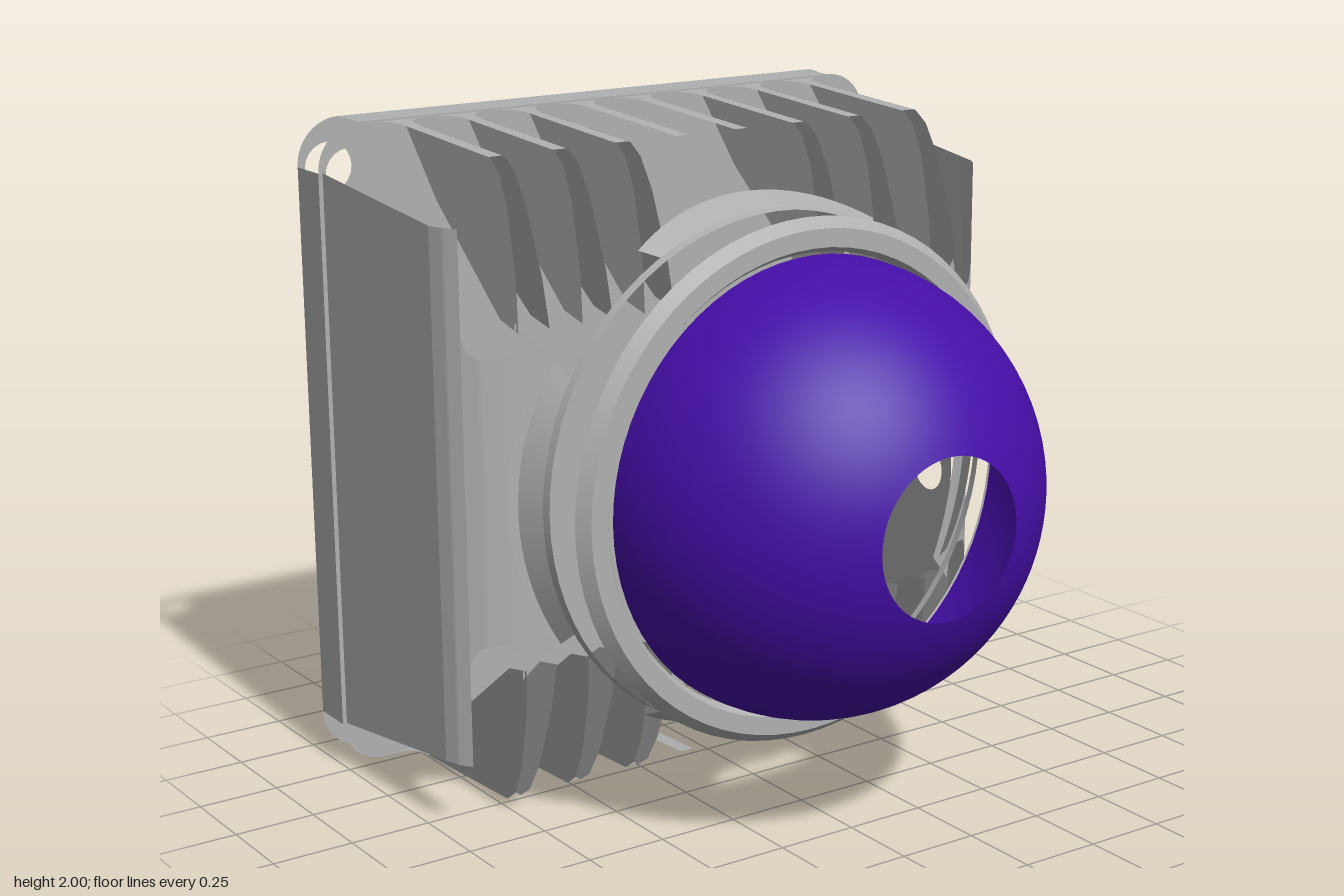
import * as THREE from 'three';

const grey = new THREE.MeshStandardMaterial({ color: 0xb0b0b0, side: THREE.DoubleSide });
grey.name = 'housing grey';
const purple = new THREE.MeshStandardMaterial({ color: 0x450ea8, side: THREE.DoubleSide });
purple.name = 'dome purple';

// Moves every vertex of a geometry by a rule and rebuilds the normals
function remap(geo, rule) {
  const p = geo.attributes.position;
  for (let i = 0; i < p.count; i++) p.setXYZ(i, ...rule(p.getX(i), p.getY(i), p.getZ(i)));
  geo.computeVertexNormals();
  return geo;
}

// Curved patch from a rule over u, v in 0..1
function patch(nu, nv, rule) {
  return remap(new THREE.PlaneGeometry(1, 1, nu, nv).translate(0.5, 0.5, 0), rule);
}

function roundRect(x0, y0, x1, y1, r, Type = THREE.Shape) {
  const s = new Type();
  s.moveTo(x0 + r, y0).lineTo(x1 - r, y0);
  s.absarc(x1 - r, y0 + r, r, -Math.PI / 2, 0);
  s.absarc(x1 - r, y1 - r, r, 0, Math.PI / 2);
  s.absarc(x0 + r, y1 - r, r, Math.PI / 2, Math.PI);
  s.absarc(x0 + r, y0 + r, r, Math.PI, Math.PI * 1.5);
  return s;
}

function hole(x, y, r) {
  return new THREE.Path().absarc(x, y, r, 0, Math.PI * 2);
}

// Straight-line interpolation through a short list of [key, value] points
function follow(points, k) {
  for (let i = 1; i < points.length; i++) {
    const [a, va] = points[i - 1], [b, vb] = points[i];
    if (k <= b) return va + (vb - va) * (k - a) / (b - a);
  }
  return points[points.length - 1][1];
}

export function createModel() {
  const root = new THREE.Group();
  const body = new THREE.Group();
  body.position.y = 1;
  root.add(body);
  const add = (name, geo, mat = grey) => {
    const m = new THREE.Mesh(geo, mat);
    m.name = name;
    body.add(m);
    return m;
  };
  const turned = (pts) => new THREE.LatheGeometry(
    pts.map(([r, z]) => new THREE.Vector2(r, z)), 72).rotateX(Math.PI / 2);

  // Dome with a round opening at the front
  const dome = [];
  for (let i = 0; i <= 28; i++) {
    const a = i / 28 * Math.acos(0.235 / 0.68);
    dome.push([0.68 * Math.cos(a), 0.29 + 0.68 * Math.sin(a)]);
  }
  add('dome', turned(dome), purple);

  // Front and rear retaining rings
  add('frontRingBevel', turned([[0.785, 0.26], [0.755, 0.298]]));
  add('frontRingFace', turned([[0.755, 0.298], [0.70, 0.298]]));
  add('frontRingLip', turned([[0.70, 0.298], [0.685, 0.275]]));
  add('rearRing', turned([[0.785, 0.09], [0.78, 0.118]]));

  // Four curved tabs behind the rear ring
  for (let q = 0; q < 4; q++) {
    const back = q % 2 ? -0.04 : 0.005;
    add('ringTab', patch(24, 3, (u, v) => {
      const t = u * 2 - 1, a = q * Math.PI / 2 + t * (0.5 + 0.04 * v);
      const zb = back + (0.03 - back) * t * t;
      const r = 0.775 + 0.04 * v;
      return [r * Math.cos(a), r * Math.sin(a), 0.09 + (zb - 0.09) * v];
    }));
  }

  // Back plate: two drilled faces joined by straight edges
  const plate = roundRect(-1, -1, 1, 1, 0.14);
  for (const x of [-1, 1]) for (const y of [-1, 1]) {
    plate.holes.push(hole(0.9 * x, 0.85 * y, 0.077), hole(0.74 * x, 0.555 * y, 0.046));
  }
  plate.holes.push(hole(0, 0.48, 0.055), hole(0, -0.69, 0.055));
  add('plateFront', new THREE.ShapeGeometry(plate, 10).translate(0, 0, -0.785));
  add('plateBack', new THREE.ShapeGeometry(plate, 10).rotateY(Math.PI).translate(0, 0, -0.92));
  for (let q = 0; q < 4; q++) {
    add('plateEdge', new THREE.PlaneGeometry(1.72, 0.135)
      .rotateX(-Math.PI / 2).translate(0, 1, -0.8525).rotateZ(q * Math.PI / 2));
  }

  // Cooling fins: drafted sides and narrow top edges that flare into the plate
  const fin = new THREE.Shape([
    [-0.69, 0.99], [-0.2, 0.965], [-0.15, 0.93], [-0.1, 0.84], [-0.04, 0.64],
    [-0.02, 0.5], [-0.12, 0.52], [-0.5, 0.8]].map(([z, y]) => new THREE.Vector2(z, y)));
  const edge = new THREE.Shape();
  edge.moveTo(-0.022, -0.21).lineTo(0.022, -0.21).lineTo(0.022, -0.7);
  edge.quadraticCurveTo(0.022, -0.785, 0.1, -0.785);
  edge.lineTo(-0.1, -0.785);
  edge.quadraticCurveTo(-0.022, -0.785, -0.022, -0.7);
  for (const up of [-1, 1]) {
    for (let i = 0; i < 8; i++) {
      const xc = -0.735 + i * 0.21;
      add('finEdge', remap(new THREE.ShapeGeometry(edge, 8),
        (x, z) => [xc + x, up * (0.955 - 0.05 * z), z]));
      if (Math.abs(xc) < 0.2) continue;
      for (const s of [-1, 1]) {
        add('finSide', remap(new THREE.ShapeGeometry(fin),
          (z, y) => [xc + s * (0.022 + (0.98 - y) * 0.06), up * y, z]));
      }
    }
  }

  // Curved front of each side cover, cut around the ring and the corner pockets
  const curve = [[0.7, 0], [0.82, -0.045], [0.88, -0.075], [0.92, -0.11], [0.945, -0.15], [0.96, -0.2]];
  const inner = (x) => (x < 0.82 ? Math.sqrt(0.82 * 0.82 - x * x) : 0);
  const spans = [
    [0.7, 0.79, (x) => 0.43 + (x - 0.7) * 1.1],
    [0.79, 0.92, (x) => 0.485 - Math.sqrt(Math.max(0, 0.065 ** 2 - (x - 0.855) ** 2))],
    [0.92, 0.96, () => 0.795]];
  // Side wall outline in z, y
  const wall = () => {
    const s = new THREE.Shape();
    s.moveTo(-0.785, -0.86).lineTo(-0.2, -0.795).lineTo(-0.2, 0.795).lineTo(-0.785, 0.86);
    return s;
  };
  const wallX = (z) => 0.96 + (-0.2 - z) * 0.045;
  for (const s of [-1, 1]) {
    for (const up of [-1, 1]) for (const [a, b, outer] of spans) {
      add('sideCoverFront', patch(16, 2, (u, v) => {
        const x = a + (b - a) * u, lo = inner(x);
        return [s * x, up * (lo + (outer(x) - lo) * v), follow(curve, x)];
      }));
    }
    const shape = wall();
    if (s > 0) shape.holes.push(roundRect(-0.765, -0.37, -0.21, 0.375, 0.07, THREE.Path));
    add('sideWall', remap(new THREE.ShapeGeometry(shape, 8), (z, y) => [s * wallX(z), y, z]));
  }

  // Recessed connector panel with four small ports and one large one
  const panel = roundRect(-0.77, -0.375, -0.205, 0.38, 0.07);
  panel.holes.push(hole(-0.485, 0, 0.22));
  for (const z of [-0.64, -0.33]) for (const y of [-0.25, 0.25]) panel.holes.push(hole(z, y, 0.075));
  add('connectorPanel', remap(new THREE.ShapeGeometry(panel, 12), (z, y) => [wallX(z) - 0.025, y, z]));

  return root;
}
